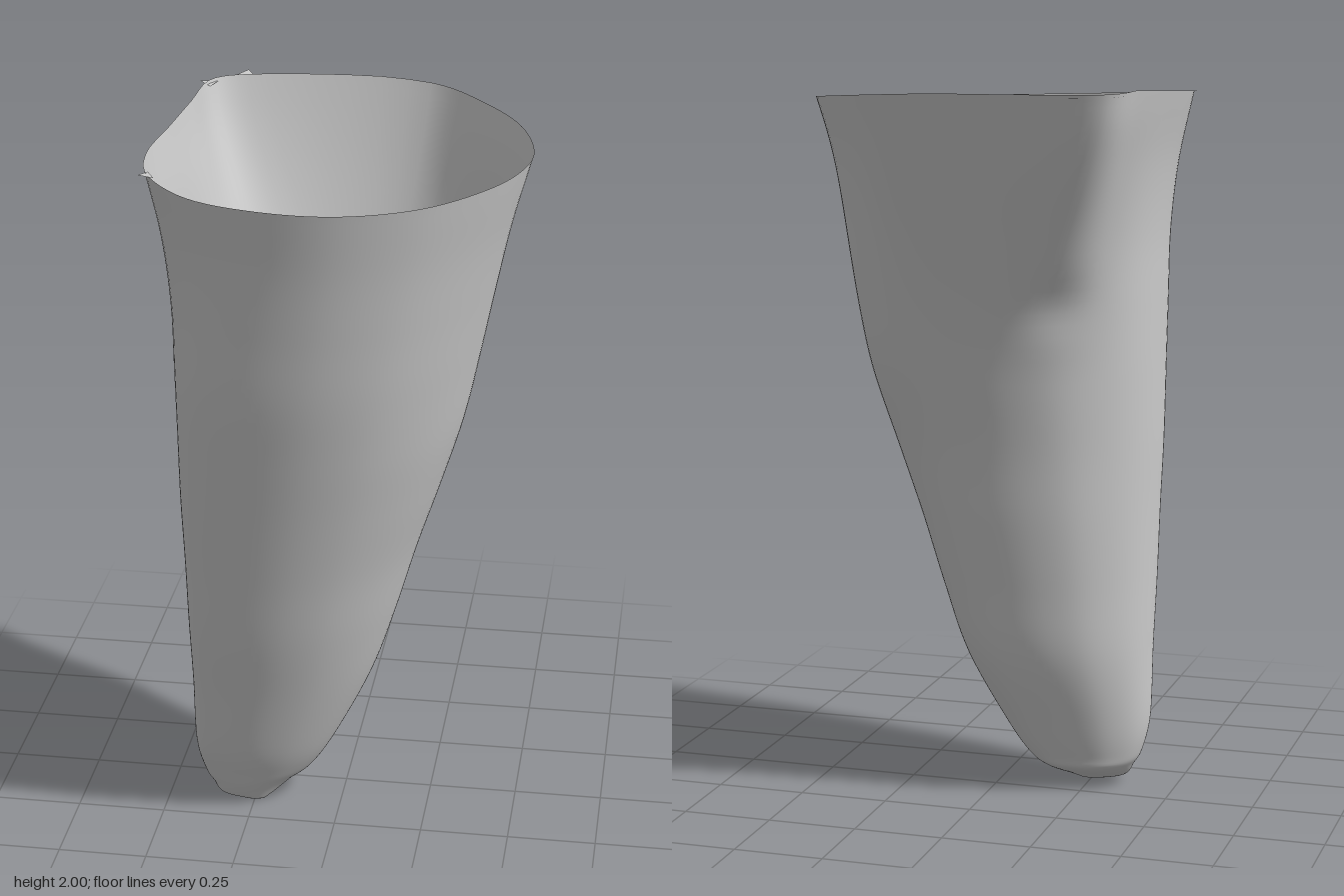
import * as THREE from 'three';

// Height, then left/right and back/front limits of the shell: [y, x0, x1, z0, z1]
const LIMITS = [
  [0, -0.28, -0.22, 0.125, 0.15],
  [0.02, -0.35, -0.19, 0.085, 0.165],
  [0.06, -0.378, -0.135, 0.005, 0.185],
  [0.1, -0.4, -0.085, -0.015, 0.2],
  [0.2, -0.42, -0.02, -0.05, 0.235],
  [0.4, -0.423, 0.08, -0.115, 0.28],
  [0.6, -0.427, 0.147, -0.145, 0.325],
  [0.8, -0.43, 0.205, -0.175, 0.36],
  [1.0, -0.435, 0.27, -0.205, 0.395],
  [1.2, -0.436, 0.33, -0.25, 0.43],
  [1.4, -0.437, 0.372, -0.3, 0.463],
  [1.6, -0.44, 0.41, -0.36, 0.485],
  [1.8, -0.46, 0.45, -0.425, 0.507],
  [2.0, -0.5, 0.5, -0.49, 0.535],
];

// Unit outlines, running from +x round the front: rounded body and cornered rim
const BODY = [[1, -0.25], [0.9, 0.2], [0.68, 0.57], [0.36, 0.85], [-0.05, 1], [-0.5, 0.99],
  [-0.81, 0.87], [-0.95, 0.6], [-1, 0.18], [-0.92, -0.2], [-0.74, -0.52], [-0.45, -0.8],
  [-0.1, -0.95], [0.28, -1], [0.66, -0.96], [0.92, -0.73]];
const RIM = [[1, -0.04], [0.94, 0.24], [0.8, 0.49], [0.5, 0.8], [0.1, 0.98], [-0.3, 1],
  [-0.68, 0.9], [-0.94, 0.63], [-1, 0.35], [-0.96, -0.04], [-0.92, -0.43], [-0.87, -0.87],
  [-0.58, -0.99], [0.34, -0.99], [0.66, -0.75], [0.9, -0.43]];

const AROUND = 96;
const RINGS = 78;

const outline = (pts) =>
  new THREE.CatmullRomCurve3(pts.map(([x, z]) => new THREE.Vector3(x, 0, z)), true, 'centripetal');

function shellGeometry() {
  const body = outline(BODY);
  const rim = outline(RIM);
  const limits = (a, b) => new THREE.CatmullRomCurve3(
    LIMITS.map((r) => new THREE.Vector3(r[a], r[0], r[b])), false, 'catmullrom', 0.5);
  const xLimits = limits(1, 2);
  const zLimits = limits(3, 4);
  const pos = [];
  const index = [];

  for (let i = 0; i <= RINGS; i++) {
    const X = xLimits.getPoint(i / RINGS);
    const Z = zLimits.getPoint(i / RINGS);
    const blend = THREE.MathUtils.smoothstep(X.y, 1.2, 1.95);
    for (let j = 0; j < AROUND; j++) {
      const t = j / AROUND;
      const p = body.getPoint(t).lerp(rim.getPoint(t), blend);
      // small dent where the back corner fold ends
      const dent = 1 - 0.04 * Math.exp(-(((t * 16 - 11) / 0.6) ** 2) - ((X.y - 1.42) / 0.08) ** 2);
      const x = (X.x + X.z) / 2 + p.x * dent * (X.z - X.x) / 2;
      const z = (Z.x + Z.z) / 2 + p.z * dent * (Z.z - Z.x) / 2;
      // the rim dips towards the front and right
      const dip = (X.y / 2) ** 4 * Math.max(0, 0.03 + 0.06 * z + 0.035 * x);
      pos.push(x, Math.max(0, X.y - dip), z);
      if (i < RINGS) {
        const a = i * AROUND + j;
        const b = i * AROUND + (j + 1) % AROUND;
        index.push(a, a + AROUND, b, b, a + AROUND, b + AROUND);
      }
    }
  }
  // closed tip
  const tip = pos.length / 3;
  pos.push(-0.25, 0, 0.138);
  for (let j = 0; j < AROUND; j++) index.push(tip, j, (j + 1) % AROUND);

  const g = new THREE.BufferGeometry();
  g.setAttribute('position', new THREE.Float32BufferAttribute(pos, 3));
  g.setIndex(index);
  g.computeVertexNormals();
  return g;
}

// Ragged, nearly level points on the rim: two base corners and a tip
const TEARS = [
  [[-0.405, 1.99, -0.455], [-0.33, 1.99, -0.48], [-0.36, 1.995, -0.535]],
  [[-0.44, 1.99, -0.37], [-0.425, 1.99, -0.435], [-0.475, 1.995, -0.405]],
  [[-0.47, 1.965, 0.325], [-0.445, 1.965, 0.375], [-0.49, 1.965, 0.357]],
];

export function createModel() {
  const group = new THREE.Group();
  group.name = 'taperedShell';
  const material = new THREE.MeshStandardMaterial({ color: 0xcccccc, side: THREE.DoubleSide });

  const shell = new THREE.Mesh(shellGeometry(), material);
  shell.name = 'shell';
  group.add(shell);

  for (const corners of TEARS) {
    const g = new THREE.BufferGeometry();
    g.setAttribute('position', new THREE.Float32BufferAttribute(corners.flat(), 3));
    g.computeVertexNormals();
    const tear = new THREE.Mesh(g, material);
    tear.name = 'raggedRimPoint';
    group.add(tear);
  }
  return group;
}
